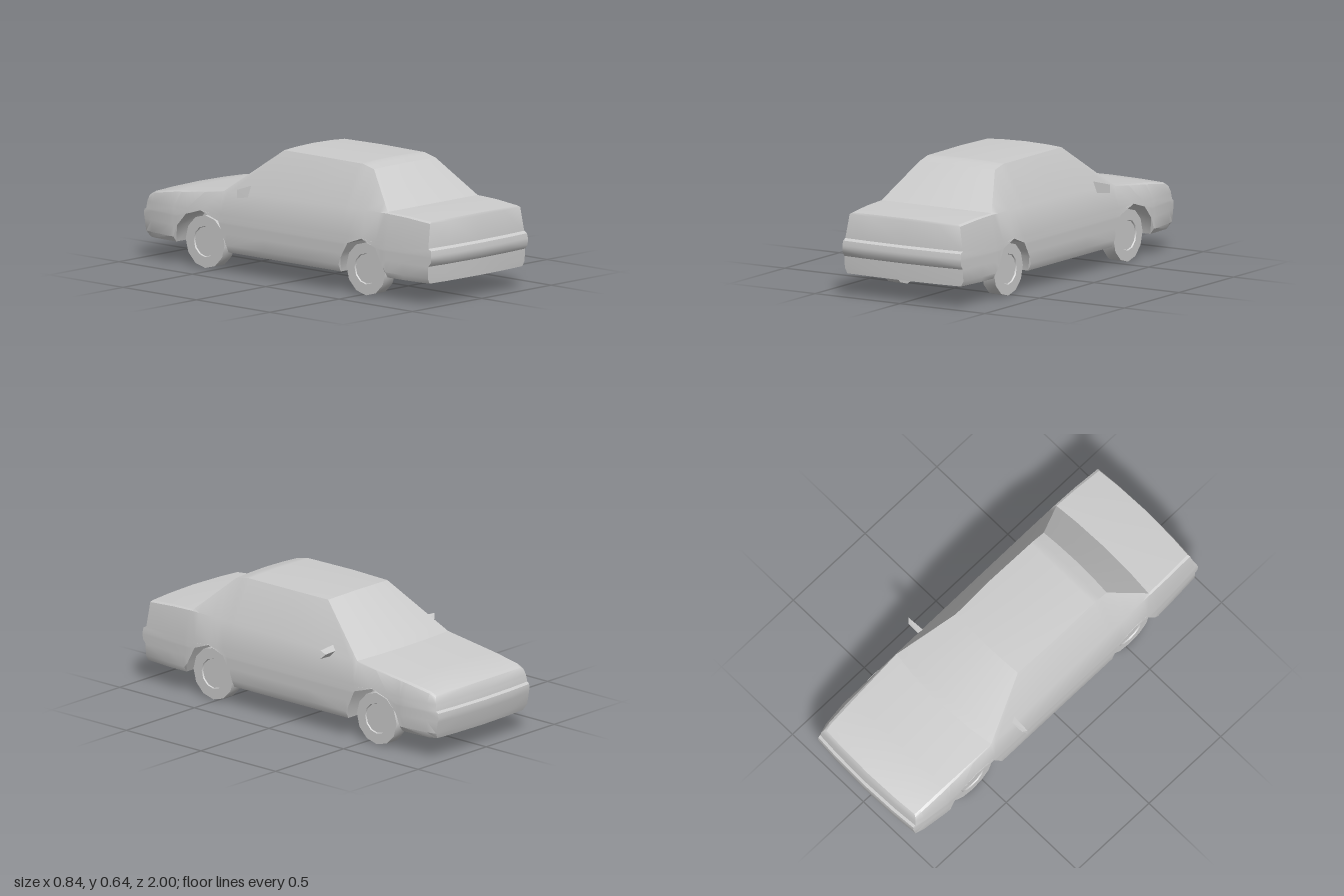
import * as THREE from 'three';
import { toCreasedNormals } from 'three/addons/utils/BufferGeometryUtils.js';
import { ConvexGeometry } from 'three/addons/geometries/ConvexGeometry.js';

// Body stations along z: [z, sillX, maxX, shoulderX, shoulderY, topX, topY, centreY, centreBow]
const KEYS = [
  [-0.965, 0.315, 0.335, 0.322, 0.32, 0.31, 0.328, 0.335, -0.015],
  [-0.92, 0.335, 0.35, 0.328, 0.335, 0.315, 0.343, 0.35, -0.008],
  [-0.78, 0.345, 0.367, 0.334, 0.358, 0.32, 0.366, 0.375, 0],
  [-0.44, 0.35, 0.367, 0.338, 0.4, 0.334, 0.405, 0.412, -0.03],
  [-0.14, 0.35, 0.367, 0.335, 0.415, 0.218, 0.632, 0.639, -0.01],
  [0.1, 0.35, 0.367, 0.335, 0.42, 0.225, 0.634, 0.641, 0],
  [0.4, 0.35, 0.367, 0.335, 0.425, 0.222, 0.632, 0.638, 0],
  [0.475, 0.35, 0.367, 0.335, 0.427, 0.222, 0.614, 0.619, 0.008],
  [0.665, 0.35, 0.367, 0.334, 0.43, 0.324, 0.436, 0.44, 0.015],
  [0.8, 0.35, 0.36, 0.332, 0.425, 0.32, 0.432, 0.437, 0.008],
  [0.965, 0.335, 0.349, 0.325, 0.412, 0.312, 0.42, 0.425, 0.015],
];
// Lower edge of the sides with the wheel arches: [z, y]
const EDGE = [
  [-1, 0.11], [-0.755, 0.112], [-0.73, 0.2], [-0.67, 0.265], [-0.57, 0.295], [-0.45, 0.257],
  [-0.41, 0.17], [-0.395, 0.103], [0.37, 0.103], [0.385, 0.18], [0.43, 0.255], [0.525, 0.29],
  [0.62, 0.255], [0.66, 0.18], [0.69, 0.113], [1, 0.113],
];
// Heights of the side rows, and how the nose and tail lie at each row
const ROW_Y = [0, 0.14, 0.2, 0.22, 0.245, 0.255, 0.28, 0.29];
const FRONT_Z = [-0.975, -0.985, -0.996, -1, -0.998, -0.985, -0.982, -0.98, -0.972, -0.965];
const REAR_Z = [0.975, 0.977, 0.98, 0.997, 1, 1, 0.996, 0.977, 0.97, 0.965];
const TOP = 9, WELL_X = 0.213, FLOOR_Y = 0.085;
const ACROSS = [1, 0.6, 0, -0.6, -1];

function sample(table, z) {
  let i = 0;
  while (i < table.length - 2 && z > table[i + 1][0]) i++;
  const a = table[i], b = table[i + 1], t = (z - a[0]) / (b[0] - a[0]);
  return a.map((v, k) => v + (b[k] - v) * t);
}
const bottom = z => sample(EDGE, z)[1];
const Z0 = KEYS[0][0], Z1 = KEYS[KEYS.length - 1][0];
const COLUMNS = [...new Set([...KEYS, ...EDGE].map(k => k[0]))]
  .filter(z => z >= Z0 && z <= Z1).sort((a, b) => a - b);

// Point on the body at station z, side row r, and fraction f of the half width
function bodyPoint(z, r, f) {
  const [, sill, wide, shX, shY, topX, topY, midY, bow] = sample(KEYS, z);
  const low = bottom(z);
  let x, y;
  if (r === 0) { x = low > 0.14 ? wide : sill; y = low; }
  else if (r < 8) { x = wide - (r > 5 ? 0.003 : 0); y = Math.max(ROW_Y[r], low); }
  else if (r === 8) { x = shX; y = shY; }
  else { x = topX; y = topY + (midY - topY) * (1 - f * f); }
  let pz = z + (r === TOP ? bow * (1 - f * f) : 0);
  if (z === Z0) pz = FRONT_Z[r] + 0.015 * f * f;
  if (z === Z1) pz = REAR_Z[r] - 0.015 * f * f;
  return [x * f, y, pz];
}

// Surface through a grid of points
function gridGeometry(rows) {
  const pos = [];
  for (let i = 0; i < rows.length - 1; i++) {
    for (let j = 0; j < rows[i].length - 1; j++) {
      const a = rows[i][j], b = rows[i + 1][j], c = rows[i + 1][j + 1], d = rows[i][j + 1];
      pos.push(...a, ...b, ...c, ...a, ...c, ...d);
    }
  }
  const g = new THREE.BufferGeometry();
  g.setAttribute('position', new THREE.Float32BufferAttribute(pos, 3));
  return toCreasedNormals(g, 0.6);
}

export function createModel() {
  const car = new THREE.Group();
  car.name = 'saloonCar';
  const paint = new THREE.MeshStandardMaterial({ color: 0xcccccc, side: THREE.DoubleSide });
  paint.name = 'plain grey';
  const add = (name, geometry) => {
    const mesh = new THREE.Mesh(geometry, paint);
    mesh.name = name;
    car.add(mesh);
    return mesh;
  };
  const between = (a, b) => COLUMNS.filter(z => z >= a && z <= b);
  const rowIds = [...Array(TOP + 1).keys()];

  // Sides with doors, side windows and arches
  for (const [side, s] of [['left', 1], ['right', -1]]) {
    add(side + 'Side', gridGeometry(COLUMNS.map(z => rowIds.map(r => bodyPoint(z, r, s)))));
  }

  // Upper panels from nose to tail
  const panels = [['bonnet', Z0, -0.44], ['windscreen', -0.44, -0.14], ['roof', -0.14, 0.475],
    ['rearWindow', 0.475, 0.665], ['bootLid', 0.665, Z1]];
  for (const [name, a, b] of panels) {
    add(name, gridGeometry(between(a, b).map(z => ACROSS.map(f => bodyPoint(z, TOP, f)))));
  }

  // Nose and tail, each with its bumper
  for (const [name, z] of [['nose', Z0], ['tail', Z1]]) {
    add(name, gridGeometry(rowIds.map(r => ACROSS.map(f => bodyPoint(z, r, f)))));
  }

  // Floor: full width between the axles, narrow between the wheel wells
  for (const [a, b] of [[Z0, -0.755], [-0.395, 0.37], [0.69, Z1]]) {
    add('floor', gridGeometry(between(a, b).map(z => ACROSS.map(f => bodyPoint(z, 0, f)))));
  }
  for (const [a, b] of [[-0.755, -0.395], [0.37, 0.69]]) {
    const zs = between(a, b);
    const floorY = z => (z === a || z === b ? bottom(z) : FLOOR_Y);
    add('axleFloor', gridGeometry(zs.map(z => [[WELL_X, floorY(z), z], [-WELL_X, floorY(z), z]])));
    for (const s of [1, -1]) {
      add('wheelWell', gridGeometry(zs.map(z => [
        bodyPoint(z, 0, s), [WELL_X * s, bottom(z), z], [WELL_X * s, floorY(z), z],
      ])));
    }
  }

  // Wheels with a slightly sunken hub
  const profile = [[0, 0.262], [0.133, 0.262], [0.133, 0.333], [0.078, 0.333], [0.075, 0.326], [0, 0.326]]
    .map(([r, x]) => new THREE.Vector2(r, x));
  const wheel = toCreasedNormals(new THREE.LatheGeometry(profile, 12).toNonIndexed(), 0.6);
  for (const [name, z] of [['frontWheel', -0.57], ['rearWheel', 0.525]]) {
    for (const s of [1, -1]) {
      const mesh = add(name, wheel);
      mesh.rotation.z = -s * Math.PI / 2;
      mesh.position.set(0, 0.133, z);
    }
  }

  // Door mirrors: flat glass behind, ridge in front
  for (const s of [1, -1]) {
    const points = [[0.322, 0.45, -0.268], [0.345, 0.395, -0.268], [0.42, 0.443, -0.272],
      [0.42, 0.4, -0.272], [0.332, 0.425, -0.292], [0.4, 0.421, -0.29]];
    add('doorMirror', new ConvexGeometry(points.map(([x, y, z]) => new THREE.Vector3(x * s, y, z))));
  }
  return car;
}
